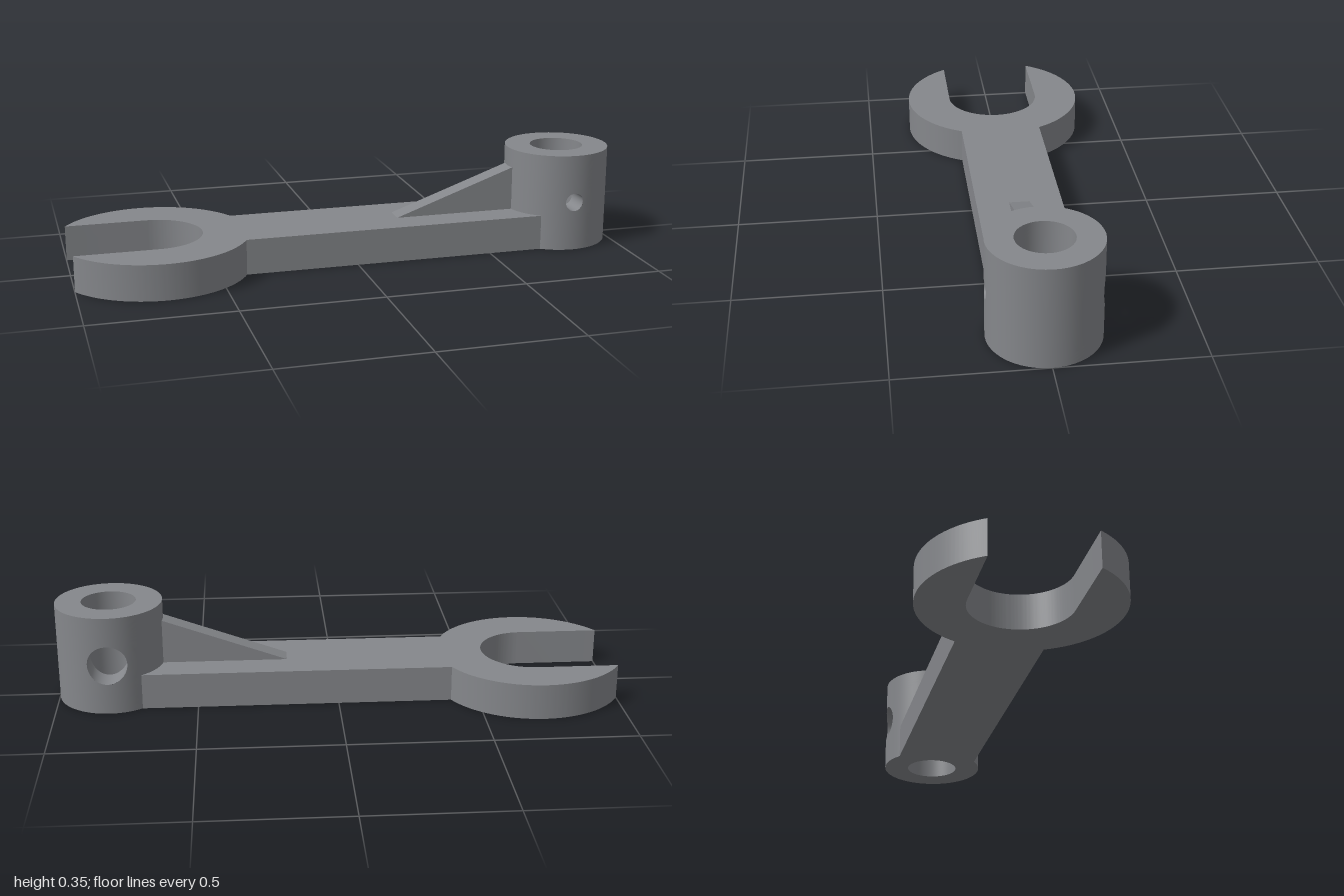
import * as THREE from 'three';
import { toCreasedNormals } from 'three/addons/utils/BufferGeometryUtils.js';

const HUB_X = 0.81, HUB_R = 0.19, BORE_R = 0.097, HUB_H = 0.355, HOLE_Y = 0.18;
const AROUND = 96, ROWS = 12;

// Rewrites a plane grid by a rule from (u, v) to a position and optional normal
function surface(cols, rows, rule) {
  const g = new THREE.PlaneGeometry(1, 1, cols, rows);
  const { position, normal, uv } = g.attributes;
  const normals = [];
  for (let i = 0; i < position.count; i++) {
    const { p, n } = rule(uv.getX(i), uv.getY(i));
    position.setXYZ(i, ...p);
    normals.push(n);
  }
  g.computeVertexNormals();
  normals.forEach((n, i) => { if (n) normal.setXYZ(i, ...n); });
  return g;
}

// Point on the edge of the square from -1 to 1, running around with t = 0..1
function squareEdge(t) {
  const s = (t % 1) * 4, side = Math.floor(s), k = (s - side) * 2 - 1;
  return [[1, k], [-k, 1], [-1, -k], [k, -1]][side];
}

// Half of a cylinder wall, pierced by a round hole; dir = 1 faces out, -1 faces in
function piercedWall(radius, hole, dir) {
  return surface(AROUND, ROWS, (u, v) => {
    const [sx, sy] = squareEdge(dir > 0 ? 1 - u : u);
    const a = Math.atan2(sy, sx);
    const holeAngle = Math.asin(hole * Math.cos(a) / radius);
    const holeY = HOLE_Y + hole * Math.sin(a);
    const angle = THREE.MathUtils.lerp(holeAngle, sx * Math.PI / 2, v);
    const y = THREE.MathUtils.lerp(holeY, (sy + 1) / 2 * HUB_H, v);
    const s = Math.sin(angle), c = Math.cos(angle);
    return { p: [radius * s, y, radius * c], n: [dir * s, 0, dir * c] };
  });
}

// Lining of a side hole, from the bore to the outer wall
function tunnel(hole) {
  return surface(48, 1, (u, v) => {
    const a = -u * Math.PI * 2;
    const x = hole * Math.cos(a), r = v > 0.5 ? HUB_R : BORE_R;
    return {
      p: [x, HOLE_Y + hole * Math.sin(a), Math.sqrt(r * r - x * x)],
      n: [-Math.cos(a), -Math.sin(a), 0],
    };
  });
}

export function createModel() {
  const root = new THREE.Group();
  root.name = 'wrench';
  const steel = new THREE.MeshStandardMaterial({ color: 0x85878b });
  steel.name = 'steel grey';

  const add = (parent, name, geometry) => {
    const mesh = new THREE.Mesh(geometry, steel);
    mesh.name = name;
    parent.add(mesh);
    return mesh;
  };

  // Open jaw and flat handle in one outline
  const jawX = -0.708, jawR = 0.34, slot = 0.175, half = 0.152, seat = 0.185;
  const tip = Math.asin(slot / jawR);
  const neck = Math.asin(half / jawR);
  const end = Math.asin(half / seat);
  const outline = new THREE.Shape();
  outline.absarc(jawX, 0, jawR, Math.PI + tip, Math.PI * 2 - neck, false);
  outline.absarc(HUB_X, 0, seat, Math.PI + end, Math.PI - end, true);
  outline.absarc(jawX, 0, jawR, neck, Math.PI - tip, false);
  outline.absarc(jawX, 0, slot, Math.PI / 2, -Math.PI / 2, true);
  outline.closePath();
  const body = new THREE.ExtrudeGeometry(outline, { depth: 0.127, bevelEnabled: false, curveSegments: 48 });
  body.rotateX(-Math.PI / 2);
  add(root, 'jawAndHandle', toCreasedNormals(body, 0.5));

  // Sloping rib that braces the hub
  const rib = new THREE.Shape([
    new THREE.Vector2(0.18, 0.127),
    new THREE.Vector2(0.65, 0.1),
    new THREE.Vector2(0.65, 0.296),
  ]);
  const ribGeometry = new THREE.ExtrudeGeometry(rib, { depth: 0.072, bevelEnabled: false });
  add(root, 'rib', ribGeometry.translate(0, 0, -0.036));

  // Hub with a vertical bore, a small front hole and a large back hole
  const hub = new THREE.Group();
  hub.name = 'hub';
  hub.position.x = HUB_X;
  root.add(hub);
  [['front', 0.033, 0], ['back', 0.07, Math.PI]].forEach(([side, hole, turn]) => {
    add(hub, side + 'OuterWall', piercedWall(HUB_R, hole, 1)).rotation.y = turn;
    add(hub, side + 'BoreWall', piercedWall(BORE_R, hole, -1)).rotation.y = turn;
    add(hub, side + 'SideHole', tunnel(hole)).rotation.y = turn;
  });

  // Ring faces at the top and bottom of the hub
  const ring = new THREE.RingGeometry(BORE_R, HUB_R, 48);
  const top = add(hub, 'hubTop', ring);
  top.rotation.x = -Math.PI / 2;
  top.position.y = HUB_H;
  add(hub, 'hubBottom', ring).rotation.x = Math.PI / 2;

  return root;
}
